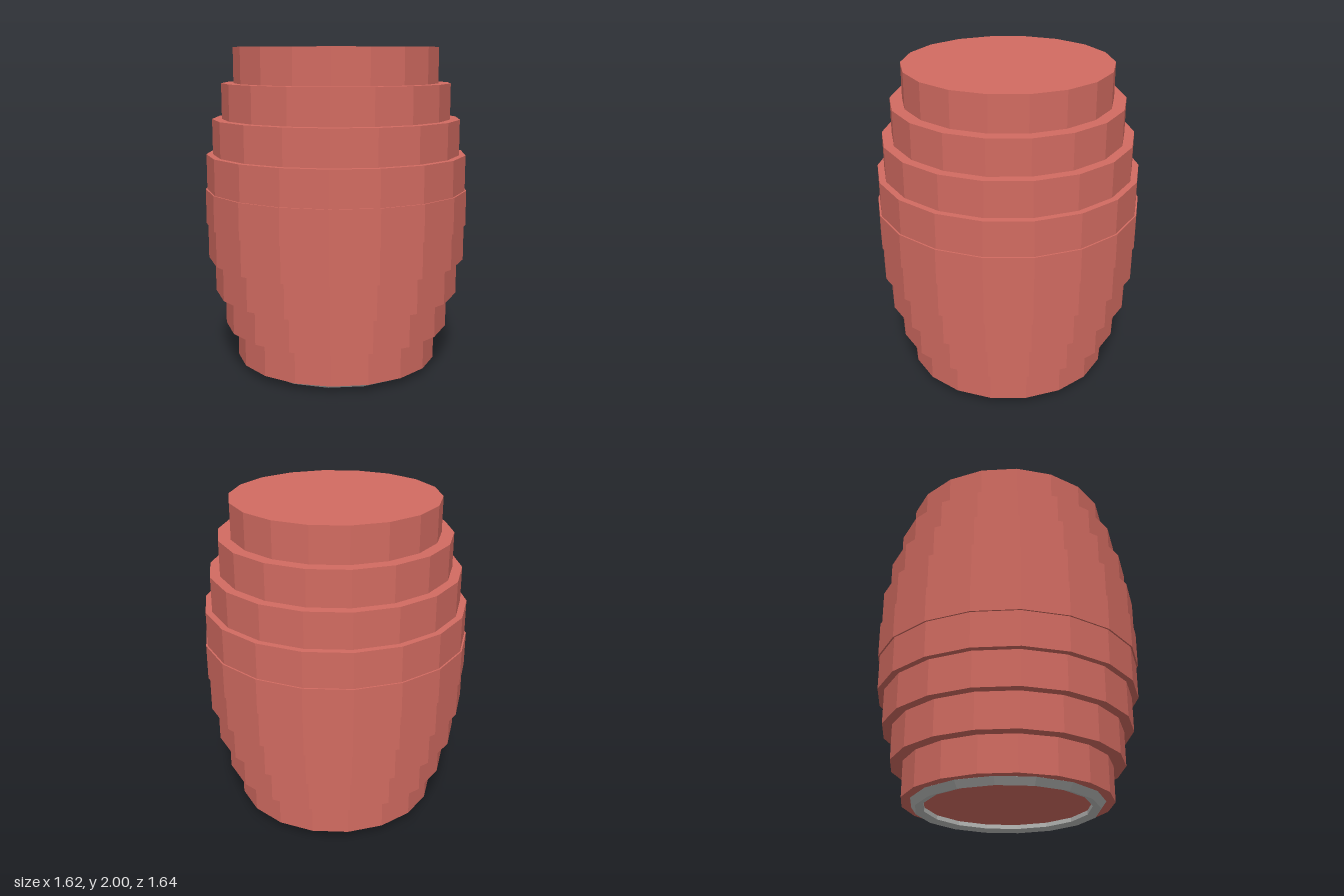
import * as THREE from 'three';

const SIDES = 18;
const BASE_Y = 0.042;                       // underside of the barrel body
const RADII = [0.635, 0.71, 0.77, 0.81, 0.82, 0.81, 0.77, 0.71, 0.635];

export function createModel() {
  const red = new THREE.MeshStandardMaterial({ color: 0xd26b61 });
  red.name = 'barrelRed';
  red.flatShading = true;
  const grey = new THREE.MeshStandardMaterial({ color: 0xb8b9b7 });
  grey.name = 'ringGrey';
  grey.flatShading = true;

  const model = new THREE.Group();
  model.name = 'barrel';

  // stacked hoops that bulge toward the middle
  const step = (2 - BASE_Y) / RADII.length;
  RADII.forEach((radius, i) => {
    const hoop = new THREE.Mesh(new THREE.CylinderGeometry(radius, radius, step, SIDES), red);
    hoop.name = `hoop${i + 1}`;
    hoop.position.y = BASE_Y + step * (i + 0.5);
    model.add(hoop);
  });

  // five-sided foot ring, half sunk into the underside
  const tube = 0.044;
  const ring = new THREE.Mesh(new THREE.TorusGeometry(0.537, tube, 5, 16), grey);
  ring.name = 'footRing';
  ring.rotation.x = Math.PI / 2;
  ring.position.y = tube * Math.sin(THREE.MathUtils.degToRad(72));
  model.add(ring);

  return model;
}
